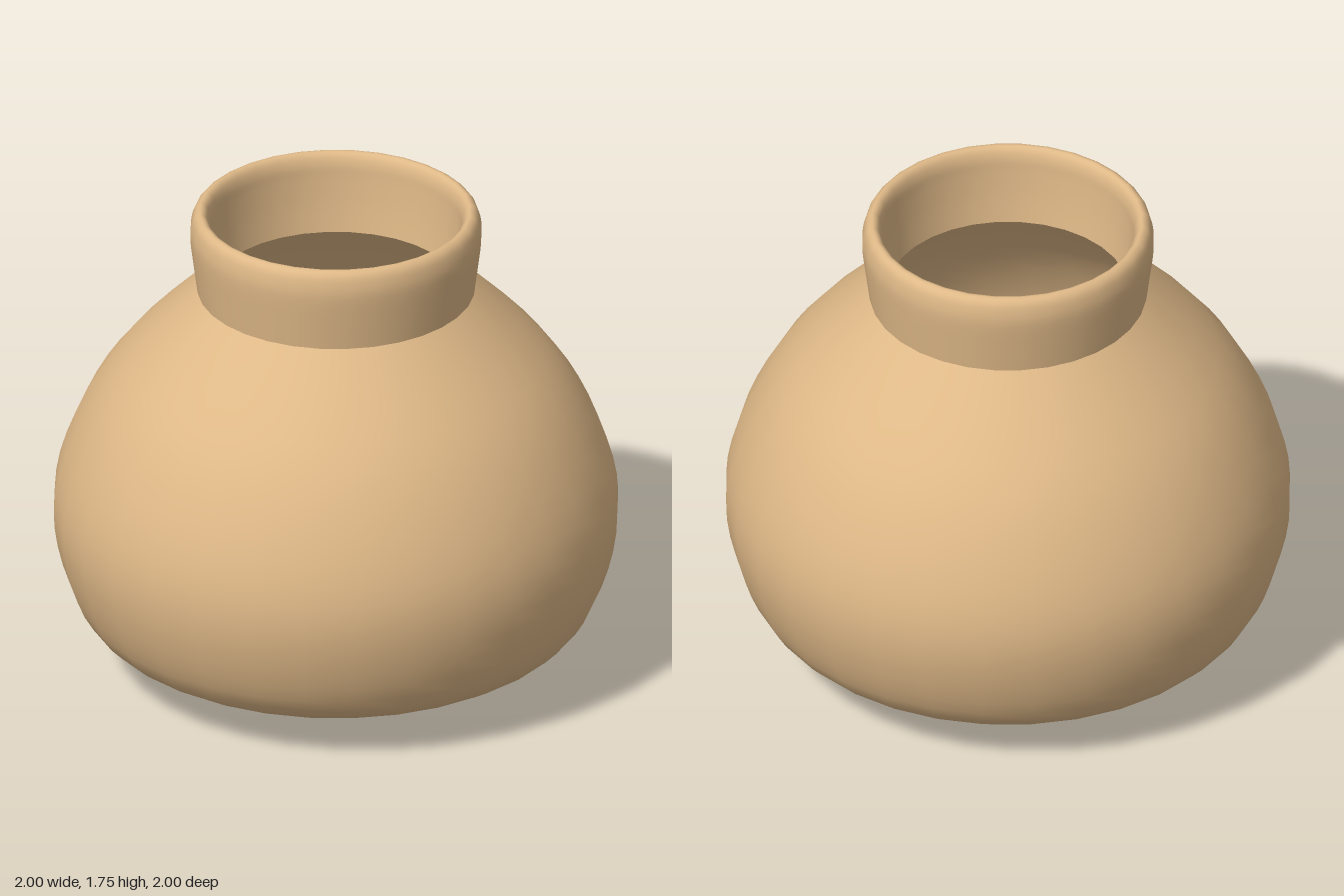
import * as THREE from 'three';

const SEGMENTS = 32;
const clay = new THREE.MeshStandardMaterial({ color: 0xdeb887 });

// Smooth curve through [radius, height] pairs
function smooth(pairs, steps) {
  return new THREE.SplineCurve(pairs.map(([r, y]) => new THREE.Vector2(r, y))).getPoints(steps)
    .map((p) => p.setX(Math.max(0, p.x)));
}

function turned(name, points) {
  const mesh = new THREE.Mesh(new THREE.LatheGeometry(points, SEGMENTS), clay);
  mesh.name = name;
  return mesh;
}

export function createModel() {
  const pot = new THREE.Group();
  pot.name = 'pot';

  // Outer belly, from the base centre to the shoulder
  pot.add(turned('body', smooth([
    [0, 0], [0.2, 0.01], [0.4, 0.035], [0.55, 0.068], [0.72, 0.115], [0.87, 0.2],
    [0.955, 0.36], [0.998, 0.57], [0.975, 0.77], [0.88, 1.0], [0.74, 1.2], [0.49, 1.45],
  ], 32)));

  // Flared neck: outside, rounded lip, then down the inside
  pot.add(turned('neck', smooth([
    [0.49, 1.45], [0.503, 1.55], [0.515, 1.65], [0.513, 1.7], [0.502, 1.738], [0.48, 1.755],
    [0.46, 1.744], [0.448, 1.71], [0.445, 1.66], [0.437, 1.56], [0.425, 1.46],
  ], 30)));

  // Hollow inside, from the neck opening down to the floor
  pot.add(turned('interior', smooth([
    [0.425, 1.46], [0.69, 1.18], [0.83, 0.97], [0.92, 0.75], [0.94, 0.57], [0.9, 0.38],
    [0.82, 0.24], [0.69, 0.165], [0.53, 0.12], [0.38, 0.09], [0.2, 0.068], [0, 0.06],
  ], 30)));

  return pot;
}
